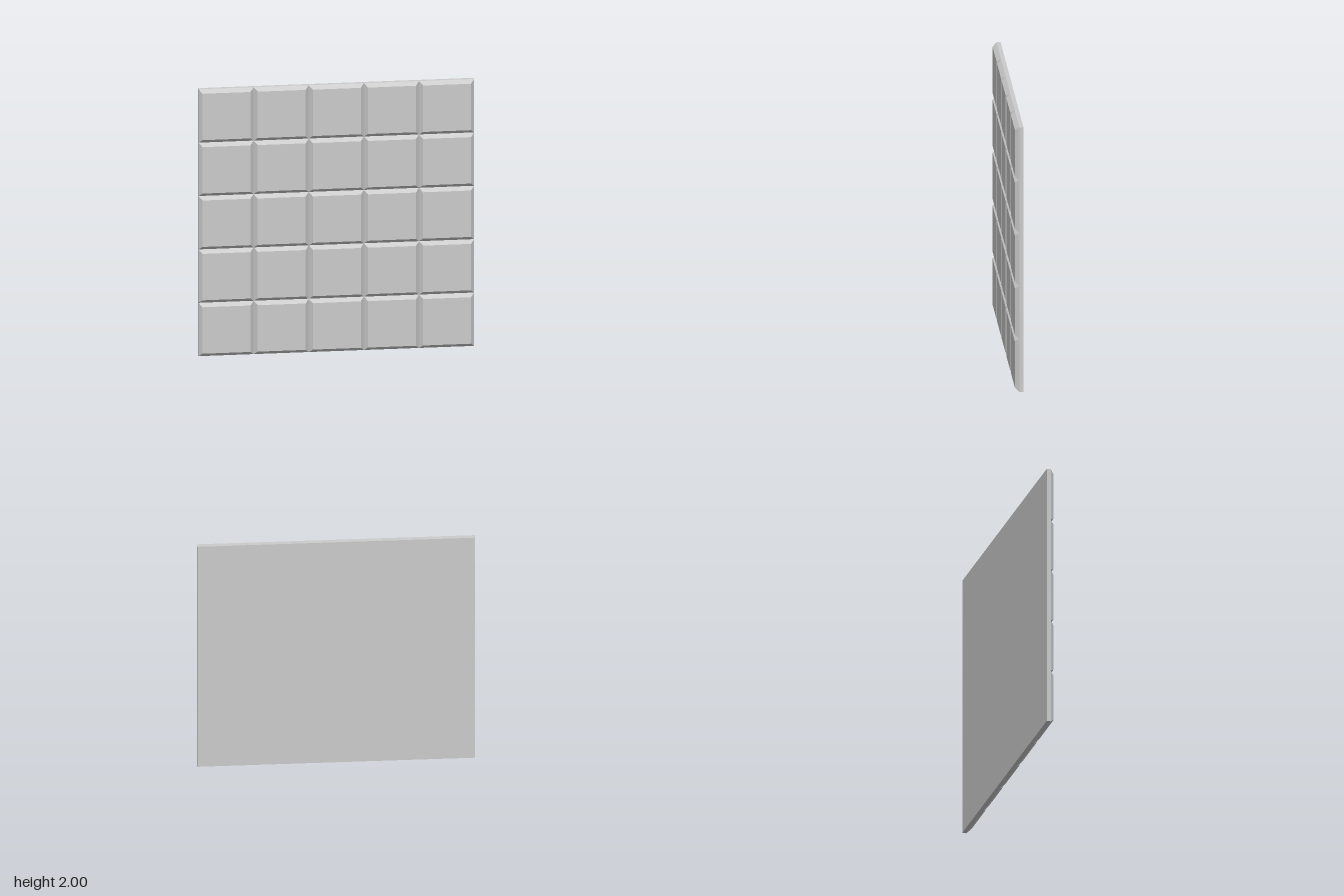
import * as THREE from 'three';

const SIZE = 2;
const COUNT = 5;
const CELL = SIZE / COUNT;
const DEPTH = 0.03;
const BEVEL = 0.026;

// Square tile whose front face is drawn in to give four sloping edges
function tileGeometry() {
  const geometry = new THREE.BoxGeometry(CELL, CELL, DEPTH);
  geometry.translate(0, 0, DEPTH / 2);
  const p = geometry.attributes.position;
  const inset = CELL / 2 - BEVEL;
  for (let i = 0; i < p.count; i++) {
    if (p.getZ(i) > DEPTH / 2) {
      p.setXY(i, Math.sign(p.getX(i)) * inset, Math.sign(p.getY(i)) * inset);
    }
  }
  geometry.computeVertexNormals();
  return geometry;
}

export function createModel() {
  const model = new THREE.Group();
  model.name = 'tiledPanel';
  const material = new THREE.MeshStandardMaterial({ color: 0xcccccc, flatShading: true });

  // Flat backing slab
  const slab = new THREE.Mesh(new THREE.BoxGeometry(SIZE, SIZE, DEPTH), material);
  slab.name = 'backingSlab';
  slab.position.set(0, SIZE / 2, -DEPTH / 2);
  model.add(slab);

  // Grid of bevelled tiles on the front
  const tiles = new THREE.Group();
  tiles.name = 'tiles';
  const geometry = tileGeometry();
  for (let row = 0; row < COUNT; row++) {
    for (let col = 0; col < COUNT; col++) {
      const tile = new THREE.Mesh(geometry, material);
      tile.name = `tileRow${row + 1}Column${col + 1}`;
      tile.position.set((col + 0.5) * CELL - SIZE / 2, (row + 0.5) * CELL, 0);
      tiles.add(tile);
    }
  }
  model.add(tiles);

  return model;
}
